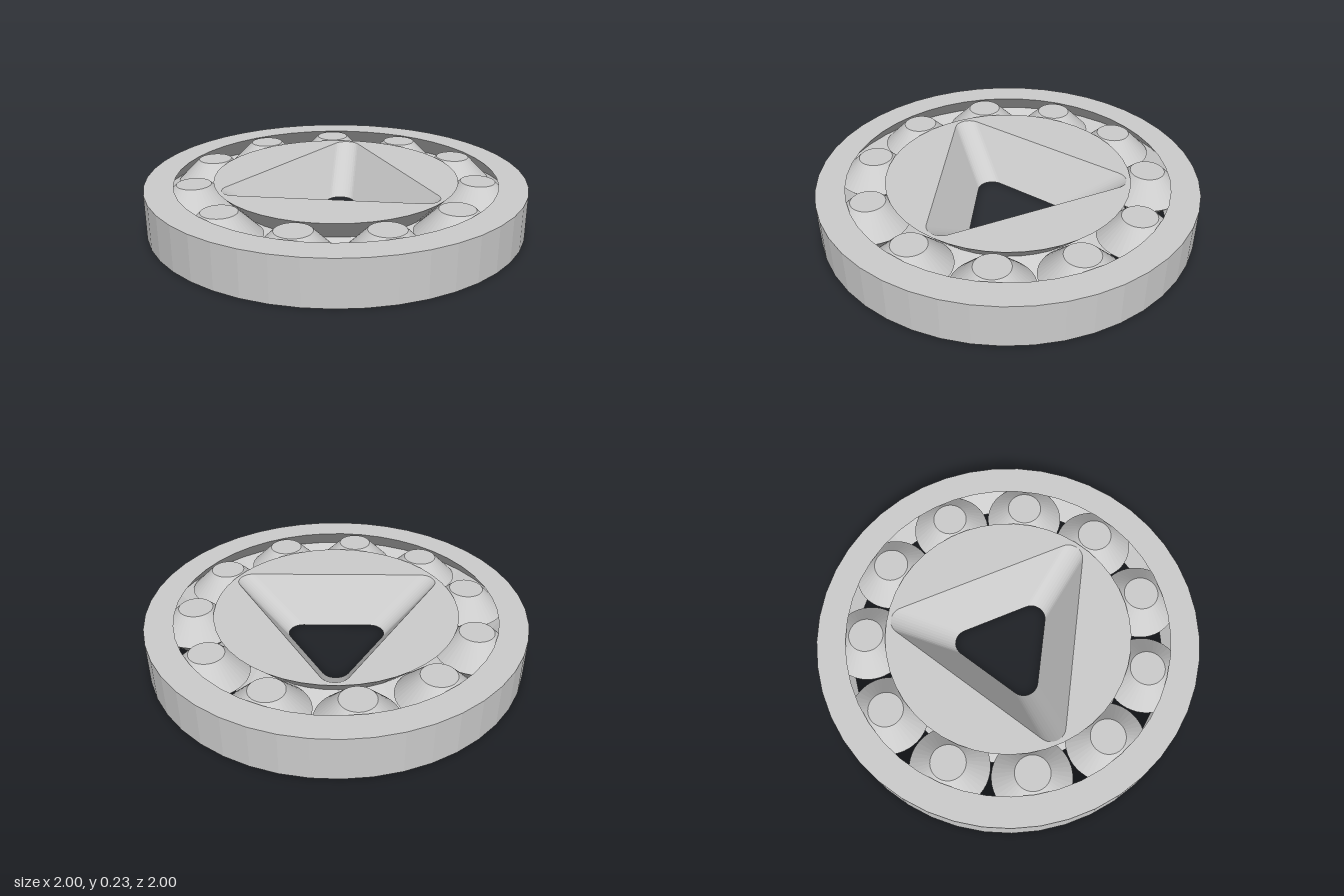
import * as THREE from 'three';

const H = 0.235, M = H / 2, SEG = 45;
const PITCH = 0.745, ROLLERS = 11, END_R = 0.09, MID_R = 0.207;
const INNER_R = 0.645;
const grey = new THREE.MeshStandardMaterial({ color: 0xcccccc, flatShading: true });

function mesh(name, geometry) {
  const m = new THREE.Mesh(geometry, grey);
  m.name = name;
  return m;
}

// Revolved profile of [radius, height] pairs, with a facet corner at x = -1
function lathe(profile) {
  return new THREE.LatheGeometry(profile.map(p => new THREE.Vector2(...p)), SEG, -Math.PI / 2);
}

// Counter-clockwise triangle with rounded corners, one corner towards +y
function roundedTriangle(inradius, r = 0.077, steps = 10) {
  const pts = [];
  for (let k = 0; k < 3; k++) {
    const dir = Math.PI / 2 + k * Math.PI * 2 / 3, d = 2 * (inradius - r);
    for (let i = 0; i <= steps; i++) {
      const a = dir + (i / steps - 0.5) * Math.PI * 2 / 3;
      pts.push(new THREE.Vector2(d * Math.cos(dir) + r * Math.cos(a), d * Math.sin(dir) + r * Math.sin(a)));
    }
  }
  return pts;
}

// Flat disc matching the lathe facets, with a hole; side is 1 for top, -1 for bottom
function cap(hole, side) {
  const rim = [];
  for (let i = 0; i < SEG; i++) {
    const a = Math.PI + i / SEG * Math.PI * 2;
    rim.push(new THREE.Vector2(INNER_R * Math.cos(a), INNER_R * Math.sin(a)));
  }
  const shape = new THREE.Shape(rim);
  shape.holes.push(new THREE.Path(hole.map(p => new THREE.Vector2(p.x, p.y * side))));
  const g = new THREE.ShapeGeometry(shape);
  g.rotateX(-side * Math.PI / 2);
  g.translate(0, side > 0 ? H : 0, 0);
  return g;
}

// Sloping walls joining the two hole outlines, facing the axis
function holeWalls(bottom, top) {
  const pos = [], index = [], n = top.length;
  for (const p of bottom) pos.push(p.x, 0, -p.y);
  for (const p of top) pos.push(p.x, H, -p.y);
  for (let i = 0; i < n; i++) {
    const j = (i + 1) % n;
    index.push(i, n + i, j, j, n + i, n + j);
  }
  const g = new THREE.BufferGeometry();
  g.setAttribute('position', new THREE.Float32BufferAttribute(pos, 3));
  g.setIndex(index);
  g.computeVertexNormals();
  return g;
}

export function createModel() {
  const model = new THREE.Group();
  model.name = 'rollerBearing';

  // Outer ring with a V-shaped race on its inside
  model.add(mesh('outerRing', lathe([[1, 0], [1, H], [0.85, H], [0.957, M], [0.85, 0], [1, 0]])));

  // Inner ring with a V-shaped race and a tapered triangular socket
  const inner = new THREE.Group();
  inner.name = 'innerRing';
  const top = roundedTriangle(0.35), bottom = roundedTriangle(0.185);
  inner.add(
    mesh('innerRace', lathe([[INNER_R, 0], [0.533, M], [INNER_R, H]])),
    mesh('innerTop', cap(top, 1)),
    mesh('innerBottom', cap(bottom, -1)),
    mesh('triangularSocket', holeWalls(bottom, top))
  );
  model.add(inner);

  // Double-cone rollers
  const rollerGeometry = lathe([[0, 0], [END_R, 0], [MID_R, M], [END_R, H], [0, H]]);
  for (let i = 0; i < ROLLERS; i++) {
    const a = i / ROLLERS * Math.PI * 2;
    const roller = mesh('roller' + (i + 1), rollerGeometry);
    roller.position.set(PITCH * Math.cos(a), 0, PITCH * Math.sin(a));
    model.add(roller);
  }
  return model;
}
